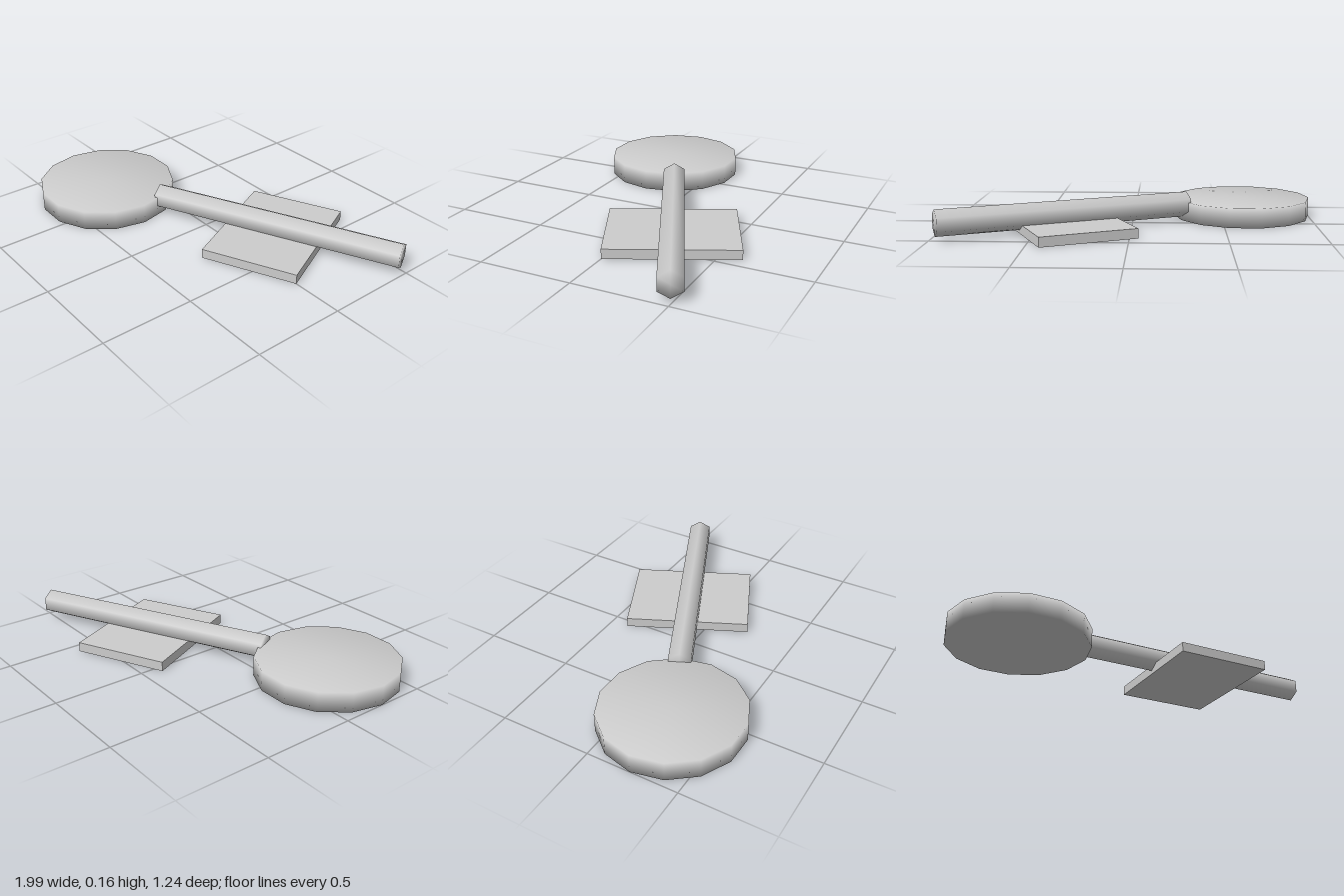
import * as THREE from 'three';

// Closed prism along +y with softly blended rim normals
function softPrism(radius, length, sides) {
  const profile = [[0, 0], [radius, 0], [radius, length], [0, length]]
    .map(([x, y]) => new THREE.Vector2(x, y));
  return new THREE.LatheGeometry(profile, sides, Math.PI / 2);
}

export function createModel() {
  const grey = new THREE.MeshStandardMaterial({ color: 0xcccccc });
  grey.name = 'light grey';

  const model = new THREE.Group();
  model.name = 'paddle';

  // Everything lies along one axis, turned 25 degrees, starting at the disc centre
  const axis = new THREE.Group();
  axis.name = 'paddleAxis';
  axis.position.set(-0.617, 0, 0.245);
  axis.rotation.y = THREE.MathUtils.degToRad(25);
  model.add(axis);

  const add = (name, geometry, x, y) => {
    const mesh = new THREE.Mesh(geometry, grey);
    mesh.name = name;
    mesh.position.set(x, y, 0);
    axis.add(mesh);
  };

  // Fourteen-sided disc
  add('disc', softPrism(0.383, 0.107, 14), 0, 0);

  // Six-sided rod with an edge on top
  add('rod', softPrism(0.07, 1.397, 6).rotateZ(-Math.PI / 2), 0.352, 0.09);

  // Flat plate under the rod
  add('plate', new THREE.BoxGeometry(0.525, 0.052, 0.685), 1.051, 0.026);

  return model;
}
